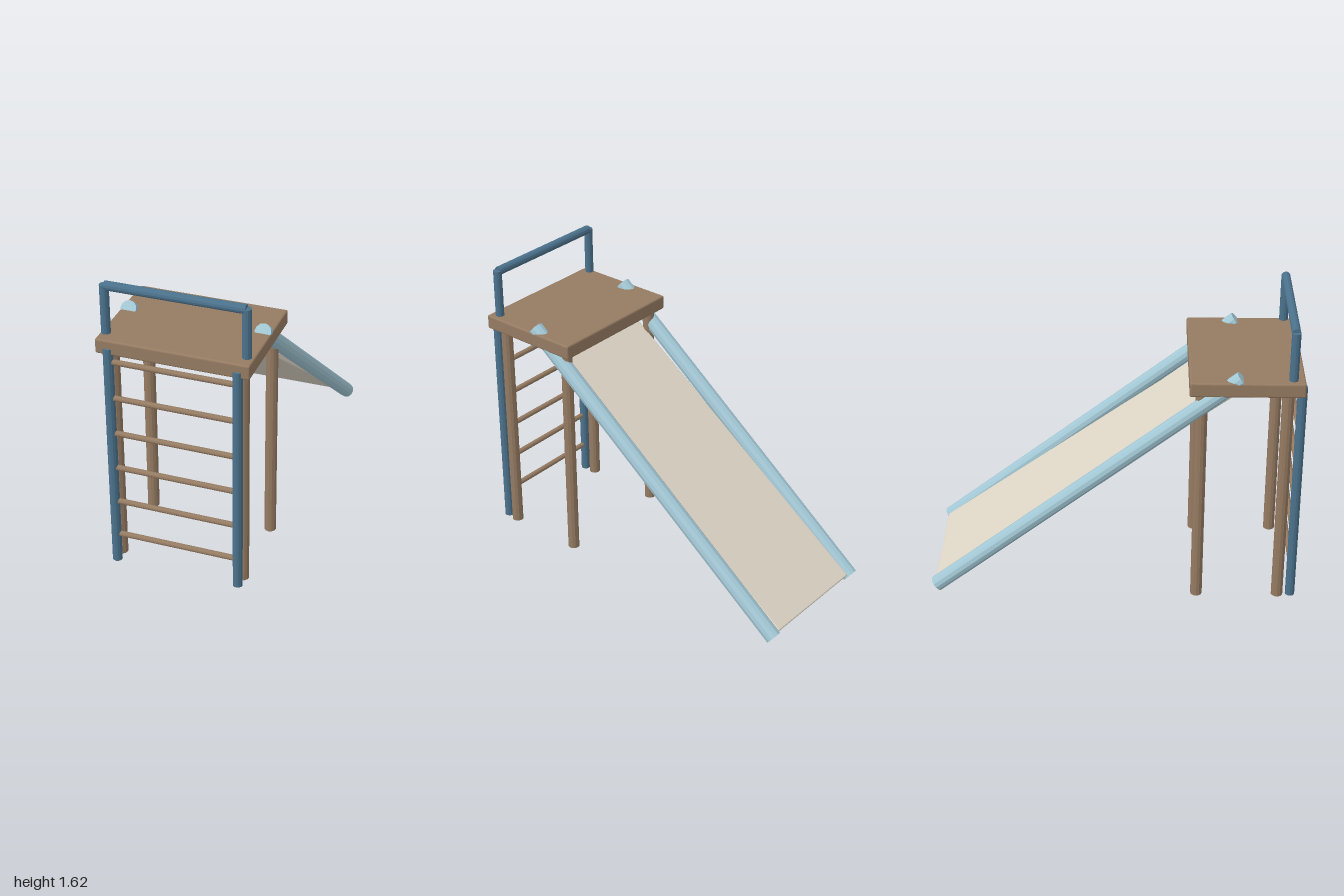
import * as THREE from 'three';
import { RoundedBoxGeometry } from 'three/addons/geometries/RoundedBoxGeometry.js';

const makeMaterial = (name, color) => {
  const m = new THREE.MeshStandardMaterial({ color, flatShading: true });
  m.name = name;
  return m;
};

export function createModel() {
  const wood = makeMaterial('brown wood', 0x957b62);
  const steel = makeMaterial('dark blue metal', 0x4b728c);
  const rail = makeMaterial('light blue metal', 0xa2c7d4);
  const cream = makeMaterial('cream slide surface', 0xddd5c5);

  const model = new THREE.Group();
  model.name = 'playgroundSlide';

  const add = (name, geometry, material) => {
    const mesh = new THREE.Mesh(geometry, material);
    mesh.name = name;
    model.add(mesh);
    return mesh;
  };

  // Faceted round bar between two points
  const bar = (name, a, b, radius, material, sides = 12) => {
    const from = new THREE.Vector3(...a), to = new THREE.Vector3(...b);
    const dir = to.clone().sub(from);
    const mesh = add(name, new THREE.CylinderGeometry(radius, radius, dir.length(), sides), material);
    mesh.position.copy(from).add(to).multiplyScalar(0.5);
    mesh.quaternion.setFromUnitVectors(new THREE.Vector3(0, 1, 0), dir.normalize());
    return mesh;
  };

  // Platform with softly bevelled edges
  add('platform', new RoundedBoxGeometry(0.8, 0.08, 0.595, 2, 0.01), wood).position.set(0, 1.29, 0.6875);

  for (const s of [-1, 1]) {
    const side = s > 0 ? 'left' : 'right';
    // Support posts
    bar(`${side}FrontPost`, [s * 0.34, 0, 0.9], [s * 0.34, 1.26, 0.9], 0.032, wood);
    bar(`${side}BackPost`, [s * 0.34, 0, 0.455], [s * 0.34, 1.26, 0.455], 0.032, wood);
    // Ladder uprights
    bar(`${side}LadderUpright`, [s * 0.336, 0, 0.972], [s * 0.336, 1.285, 0.972], 0.026, steel);
    // Handrail uprights
    bar(`${side}HandrailPost`, [s * 0.365, 1.338, 0.92], [s * 0.365, 1.604, 0.92], 0.024, steel);
    // Sloping slide rails
    bar(`${side}SlideRail`, [s * 0.357, 1.338, 0.66], [s * 0.357, 0.053, -0.974], 0.043, rail);
  }

  // Handrail crossbar
  bar('handrailBar', [-0.362, 1.599, 0.92], [0.362, 1.599, 0.92], 0.024, steel);

  // Ladder rungs
  for (let i = 0; i < 6; i++) {
    const y = 0.168 + i * 0.208;
    bar(`rung${i + 1}`, [-0.32, y, 0.972], [0.32, y, 0.972], 0.015, wood);
  }

  // Slide bed, lying between the rails
  const top = new THREE.Vector2(0.648, 1.252), end = new THREE.Vector2(-0.974, 0.068);
  const slope = top.clone().sub(end);
  const bed = add('slideBed', new RoundedBoxGeometry(0.64, 0.03, slope.length(), 2, 0.008), cream);
  bed.position.set(0, (top.y + end.y) / 2, (top.x + end.x) / 2);
  bed.rotation.x = -Math.atan2(slope.y, slope.x);

  return model;
}
